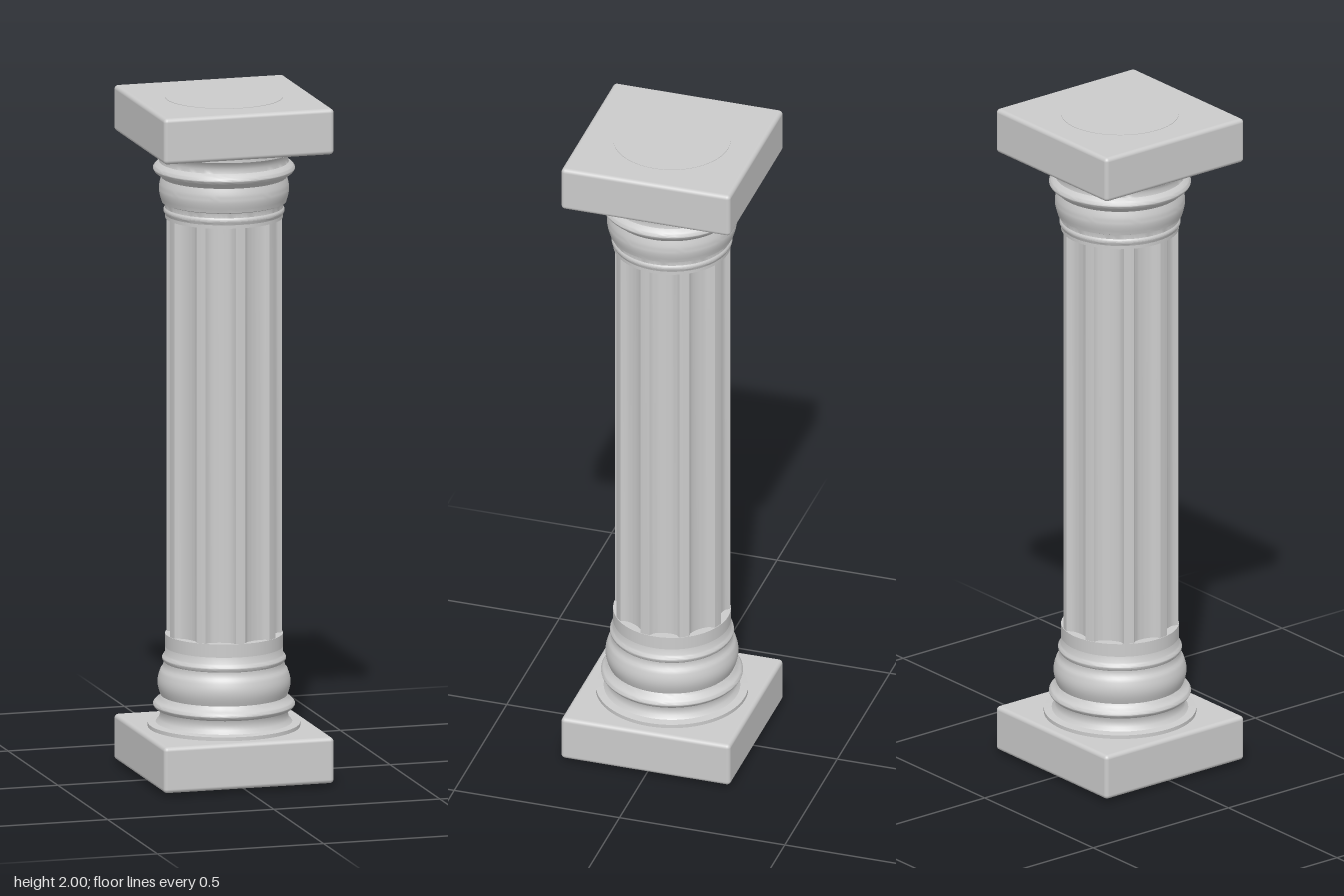
import * as THREE from 'three';
import { toCreasedNormals } from 'three/addons/utils/BufferGeometryUtils.js';
import { RoundedBoxGeometry } from 'three/addons/geometries/RoundedBoxGeometry.js';

const material = new THREE.MeshStandardMaterial({ color: 0xcccccc });
const RADIUS = 0.168;
const FLUTES = 9;
const FLUTE_BOTTOM = 0.42, FLUTE_TOP = 1.645;

function add(group, name, geometry, y = 0) {
  const mesh = new THREE.Mesh(geometry, material);
  mesh.name = name;
  mesh.position.y = y;
  group.add(mesh);
  return mesh;
}

// Turned moulding from [radius, height] pairs, listed bottom to top
function moulding(profile) {
  const points = profile.map(([r, y]) => new THREE.Vector2(r, y));
  return toCreasedNormals(new THREE.LatheGeometry(points, 72), 0.6);
}

// Round bead bulging from radius r between two heights
function bead(r, bulge, y0, y1, steps = 8) {
  return Array.from({ length: steps + 1 }, (_, i) => {
    const t = i / steps;
    return [r + bulge * Math.sin(Math.PI * t), y0 + (y1 - y0) * t];
  });
}

// Shaft cross-section: nine hollow flutes with narrow ribs between them
function shaftShape() {
  const points = [];
  const half = THREE.MathUtils.degToRad(15);
  const pitch = (Math.PI * 2) / FLUTES;
  const ribSteps = 4, fluteSteps = 12;
  for (let i = 0; i < FLUTES; i++) {
    // shape y becomes -z once stood upright, so the front rib lies at -90 degrees
    const centre = -Math.PI / 2 + (i + 0.5) * pitch;
    for (let j = 0; j <= fluteSteps; j++) {
      const t = (j / fluteSteps) * 2 - 1;
      const r = RADIUS - 0.024 * Math.sqrt(1 - t * t);
      const a = centre + t * half;
      points.push(new THREE.Vector2(r * Math.cos(a), r * Math.sin(a)));
    }
    for (let j = 1; j < ribSteps; j++) {
      const a = centre + half + (pitch - 2 * half) * (j / ribSteps);
      points.push(new THREE.Vector2(RADIUS * Math.cos(a), RADIUS * Math.sin(a)));
    }
  }
  return new THREE.Shape(points);
}

export function createModel() {
  const column = new THREE.Group();
  column.name = 'column';

  // Square slabs at both ends
  add(column, 'baseSlab', new RoundedBoxGeometry(0.512, 0.135, 0.512, 4, 0.012), 0.0785);
  add(column, 'topSlab', new RoundedBoxGeometry(0.512, 0.135, 0.512, 4, 0.012), 1.931);

  // Fluted shaft
  const shaft = new THREE.ExtrudeGeometry(shaftShape(), {
    depth: FLUTE_TOP - FLUTE_BOTTOM, bevelEnabled: false,
  });
  shaft.rotateX(-Math.PI / 2);
  add(column, 'flutedShaft', toCreasedNormals(shaft, 0.6), FLUTE_BOTTOM);

  // Plain shaft ends, passing through the slabs as flush discs
  const plainEnd = (y0, y1) => new THREE.CylinderGeometry(0.17, 0.17, y1 - y0, 72)
    .translate(0, (y0 + y1) / 2, 0);
  add(column, 'lowerShaftEnd', plainEnd(0, FLUTE_BOTTOM));
  add(column, 'upperShaftEnd', plainEnd(FLUTE_TOP, 2));

  // Base mouldings
  add(column, 'baseMoulding', moulding([
    [0.16, 0.14], [0.22, 0.14], [0.22, 0.157], [0.197, 0.16],
    [0.188, 0.17], [0.184, 0.185], [0.188, 0.198],
    ...bead(0.196, 0.009, 0.2, 0.225),
    [0.187, 0.232],
    ...bead(0.183, 0.009, 0.24, 0.315),
    [0.178, 0.32], [0.174, 0.335],
    ...bead(0.174, 0.005, 0.338, 0.358, 6),
    [0.171, 0.362], [0.169, 0.4], [0.168, 0.42],
  ]));

  // Capital mouldings
  add(column, 'capitalMoulding', moulding([
    [0.168, 1.645], [0.17, 1.655],
    ...bead(0.171, 0.004, 1.658, 1.676, 6),
    [0.173, 1.69], [0.18, 1.693],
    ...bead(0.181, 0.007, 1.697, 1.765),
    [0.187, 1.772],
    ...bead(0.196, 0.009, 1.778, 1.804),
    [0.187, 1.81], [0.184, 1.822], [0.189, 1.837],
    [0.198, 1.846], [0.22, 1.849], [0.22, 1.87], [0.16, 1.87],
  ]));

  return column;
}
